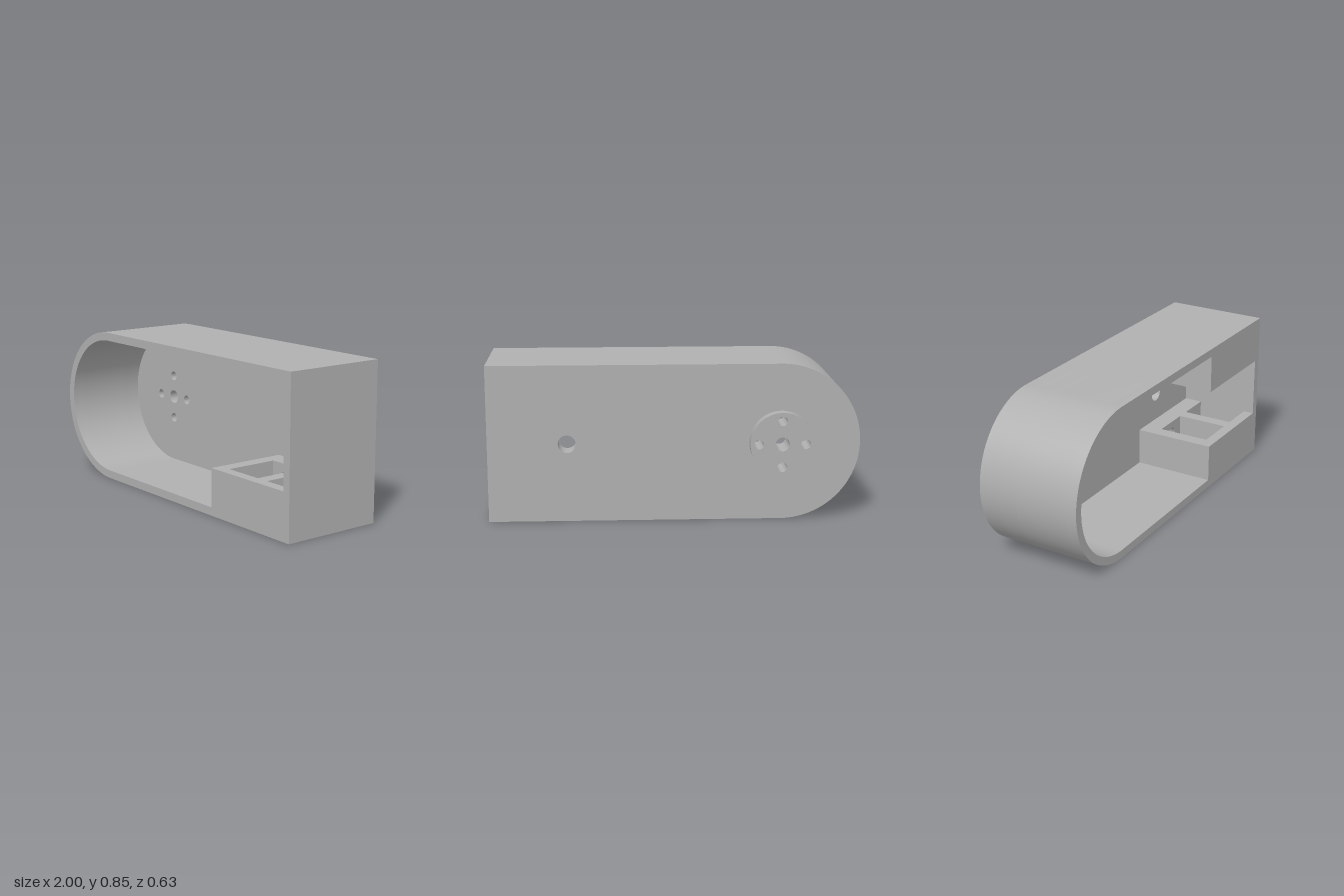
import * as THREE from 'three';
import { toCreasedNormals } from 'three/addons/utils/BufferGeometryUtils.js';

const H = 0.853, MID = H / 2, CX = -0.575, HOLE_X = 0.575;
// depth levels from back to front
const Z = { boss: -0.317, back: -0.26, floor: -0.145, pocketBack: -0.04, pocketFront: 0.257, front: 0.317 };

function circle(x, y, r) {
  return new THREE.Path().absarc(x, y, r, 0, Math.PI * 2, false);
}

// outer silhouette: square at +x, round at -x
function outline() {
  const s = new THREE.Shape();
  s.moveTo(1, 0);
  s.lineTo(1, H);
  s.lineTo(CX, H);
  s.absarc(CX, MID, MID, Math.PI / 2, Math.PI * 1.5, false);
  s.closePath();
  return s;
}

// inner opening: wide chamber plus narrow slot, optionally with side pockets
function cavity(withPockets) {
  const r = 0.381, slot = 0.169, x0 = 0.385, x1 = 0.955;
  const lower = [[x0, -r], [x0, -slot]];
  if (withPockets) {
    lower.push([0.462, -slot], [0.462, -r], [0.69, -r], [0.69, -slot],
      [0.762, -slot], [0.762, -r], [x1, -r]);
  } else {
    lower.push([x1, -slot]);
  }
  const upper = lower.map(([x, y]) => [x, -y]).reverse();
  const p = new THREE.Path();
  p.moveTo(CX, MID - r);
  for (const [x, y] of [...lower, ...upper]) p.lineTo(x, MID + y);
  p.lineTo(CX, MID + r);
  p.absarc(CX, MID, r, Math.PI / 2, Math.PI * 1.5, false);
  return p;
}

// centre bore and four surrounding screw holes
function hubHoles() {
  const d = 0.126;
  return [
    circle(CX, MID, 0.038),
    ...[[d, 0], [-d, 0], [0, d], [0, -d]].map(([x, y]) => circle(CX + x, MID + y, 0.026)),
  ];
}

export function createModel() {
  const group = new THREE.Group();
  const grey = new THREE.MeshStandardMaterial({ color: 0xb0b0b0 });
  grey.name = 'grey';

  function addLayer(name, shape, holes, z0, z1) {
    shape.holes.push(...holes);
    const geo = new THREE.ExtrudeGeometry(shape, { depth: z1 - z0, bevelEnabled: false, curveSegments: 40 });
    geo.translate(0, 0, z0);
    const mesh = new THREE.Mesh(toCreasedNormals(geo, 0.5), grey);
    mesh.name = name;
    group.add(mesh);
  }

  // round mounting boss on the back
  const boss = new THREE.Shape().absarc(CX, MID, 0.172, 0, Math.PI * 2, false);
  addLayer('mountingBoss', boss, hubHoles(), Z.boss, Z.back);

  // back plate with through holes
  addLayer('backPlate', outline(), [...hubHoles(), circle(HOLE_X, MID, 0.048)], Z.back, Z.floor);

  // wall behind the pockets, with a blind round recess above and below the slot
  addLayer('rearWall', outline(),
    [cavity(false), circle(HOLE_X, 0.165, 0.055), circle(HOLE_X, H - 0.165, 0.055)],
    Z.floor, Z.pocketBack);

  // wall with pockets opening into the slot
  addLayer('pocketWall', outline(), [cavity(true)], Z.pocketBack, Z.pocketFront);

  // front rim covering the pockets
  addLayer('frontRim', outline(), [cavity(false)], Z.pocketFront, Z.front);

  return group;
}
